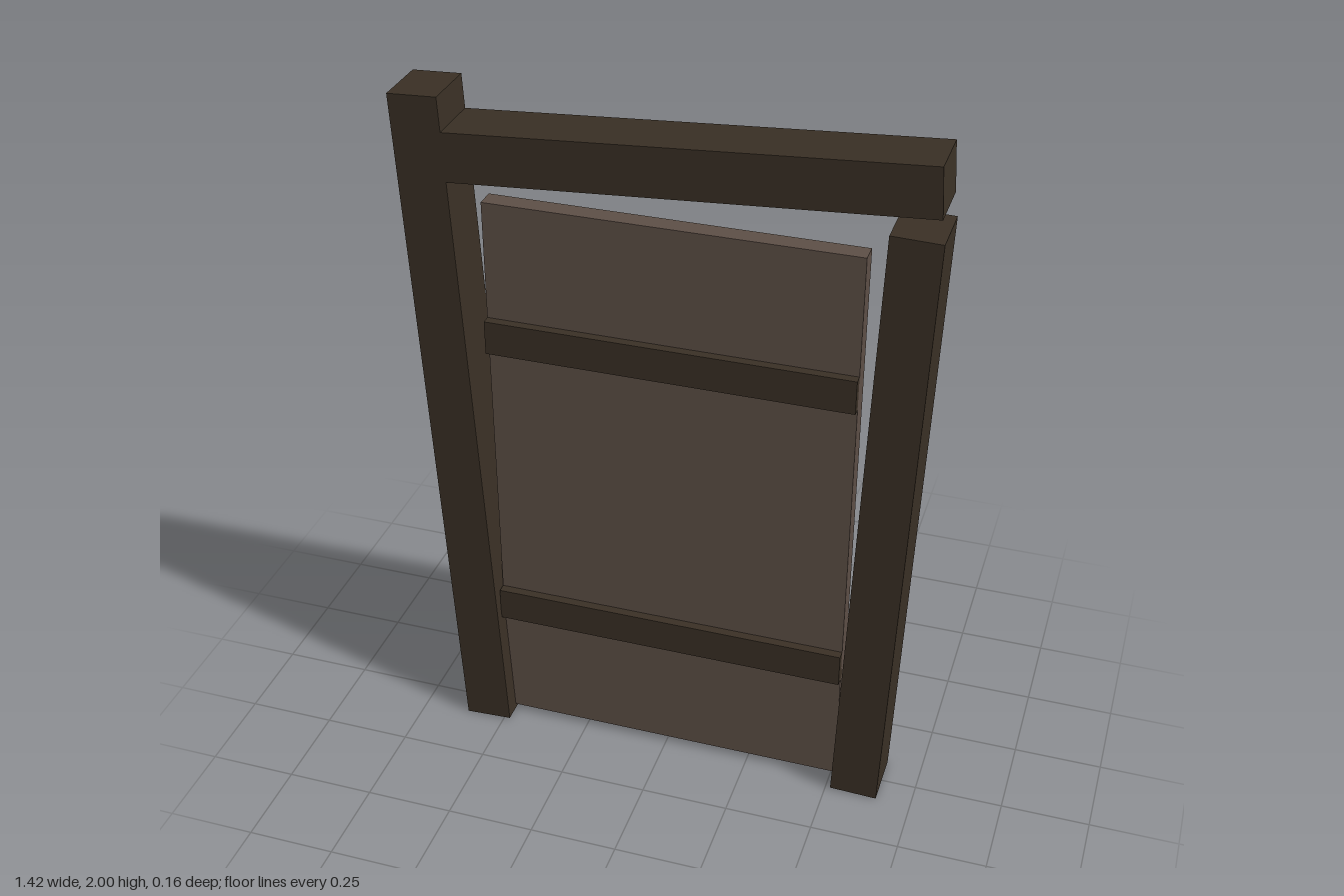
import * as THREE from 'three';

export function createModel() {
  const darkWood = new THREE.MeshStandardMaterial({ color: 0x3a3025 });
  darkWood.name = 'dark wood';
  const doorWood = new THREE.MeshStandardMaterial({ color: 0x5d4f46 });
  doorWood.name = 'door wood';

  const group = new THREE.Group();
  group.name = 'crookedDoor';

  // Adds a box by size and centre, tilted about z
  function beam(name, material, size, centre, tilt = 0) {
    const mesh = new THREE.Mesh(new THREE.BoxGeometry(...size), material);
    mesh.name = name;
    mesh.position.set(...centre);
    mesh.rotation.z = tilt;
    group.add(mesh);
  }

  // Crooked frame
  const depth = 0.162;
  beam('rightPost', darkWood, [0.135, 1.995, depth], [-0.5975, 1.0, 0], 0.05);
  beam('leftPost', darkWood, [0.135, 1.791, depth], [0.6125, 0.8985, 0], -0.0335);
  beam('lintel', darkWood, [1.34, 0.136, depth], [0.027, 1.878, 0], 0.067);

  // Door leaf, with two battens on its front
  beam('doorPanel', doorWood, [1.015, 1.68, 0.055], [0.0075, 0.86, 0]);
  for (const [name, y] of [['lowerBatten', 0.418], ['upperBatten', 1.313]]) {
    beam(name, darkWood, [1.015, 0.098, 0.04], [0.0075, y, 0.033]);
  }

  return group;
}
